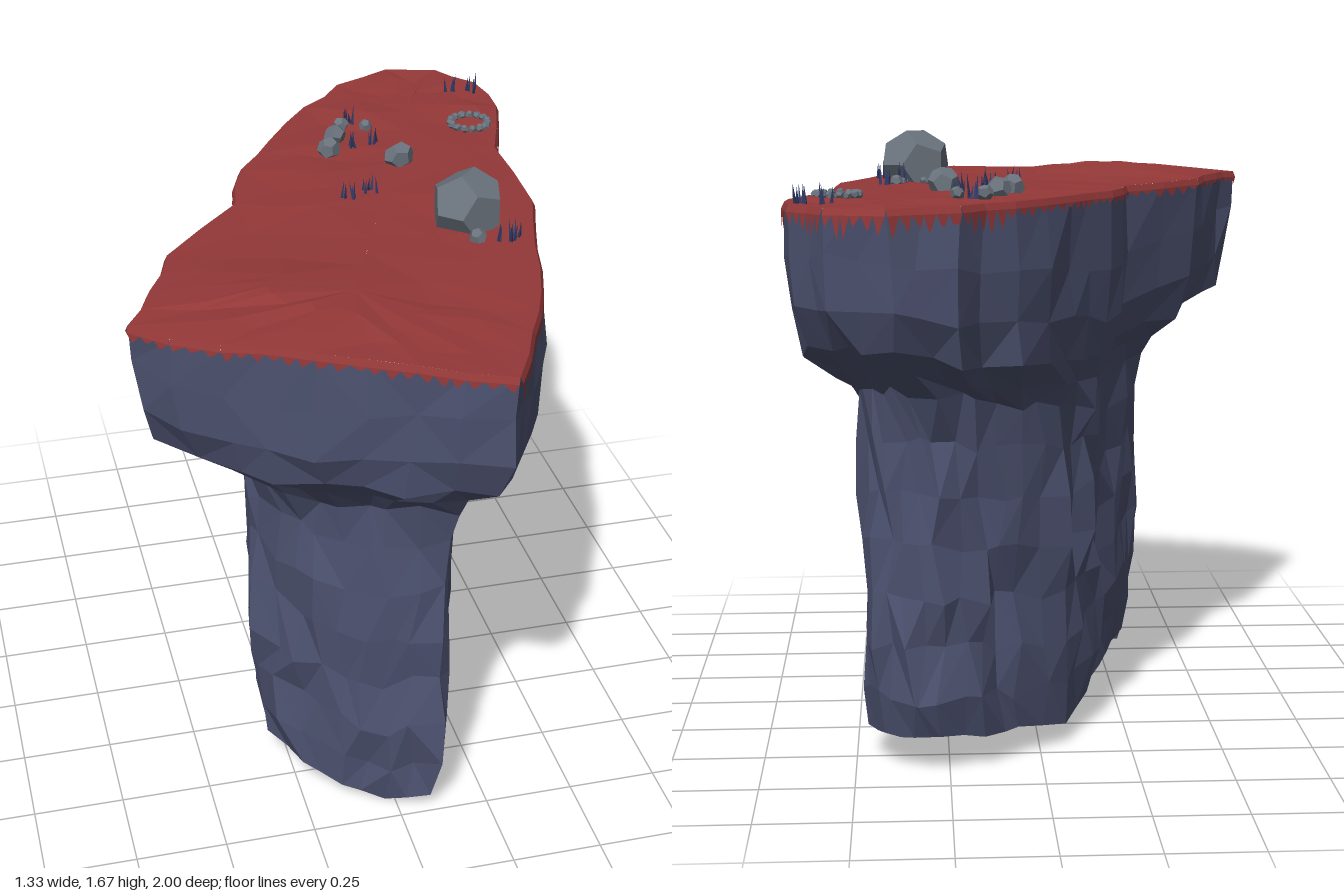
import * as THREE from 'three';

// Stations around the cliff: top x, z | trunk x, z | ledge height | bottom height | bulge below the turf
const STATIONS = [
  [-0.66, 0.52, -0.34, 0.43, 1.17, 0.10, 0], [-0.46, 0.69, -0.25, 0.56, 1.14, 0.07, 0],
  [-0.25, 0.78, -0.15, 0.64, 1.12, 0.03, 0], [-0.02, 0.88, -0.03, 0.70, 1.13, 0.00, 0],
  [0.20, 0.99, 0.10, 0.76, 1.16, 0.04, 0], [0.30, 0.78, 0.14, 0.66, 1.12, 0.05, 0.02],
  [0.39, 0.58, 0.18, 0.50, 1.13, 0.07, 0.02], [0.46, 0.32, 0.25, 0.30, 1.12, 0.11, 0.01],
  [0.54, 0.06, 0.34, 0.05, 1.03, 0.12, 0.03], [0.55, -0.32, 0.43, -0.25, 1.05, 0.06, 0.05],
  [0.65, -0.62, 0.48, -0.50, 1.12, 0.08, 0], [0.64, -0.82, 0.44, -0.62, 1.15, 0.09, 0],
  [0.55, -0.95, 0.36, -0.67, 1.16, 0.09, 0], [0.40, -0.99, 0.28, -0.69, 1.15, 0.10, 0],
  [0.22, -0.90, 0.16, -0.64, 1.12, 0.09, 0.05], [0.08, -0.75, 0.06, -0.55, 1.10, 0.08, 0.03],
  [-0.08, -0.52, -0.07, -0.43, 1.08, 0.06, 0], [-0.20, -0.34, -0.15, -0.25, 1.06, 0.09, 0],
  [-0.26, -0.12, -0.20, -0.05, 1.08, 0.11, 0], [-0.50, 0.16, -0.28, 0.15, 1.12, 0.12, 0],
  [-0.58, 0.36, -0.33, 0.32, 1.15, 0.11, 0],
];
const SUB = 2, COLS = STATIONS.length * SUB, TOP = 1.525;
const lerp = THREE.MathUtils.lerp;

let seed = 7;
const rand = () => (seed = (seed * 16807) % 2147483647) / 2147483647;
const jit = (a) => (rand() * 2 - 1) * a;

const material = (color, side = THREE.FrontSide) =>
  new THREE.MeshStandardMaterial({ color, flatShading: true, roughness: 1, side });
const ROCK = material(0x4d5270);
const TURF = material(0x943838, THREE.DoubleSide);
const STONE = material(0x69727c);
const BLADE = material(0x2f3a66);

// Gentle mound near the front left of the plateau
const groundY = (x, z) => TOP + 0.037 * Math.exp(-((x + 0.28) ** 2 + (z - 0.5) ** 2) / 0.07);

// Joins closed rings of points, choosing the diagonals irregularly
function loft(rings) {
  const pos = [];
  const tri = (...p) => p.forEach((v) => pos.push(v.x, v.y, v.z));
  for (let r = 0; r < rings.length - 1; r++) {
    for (let i = 0; i < COLS; i++) {
      const j = (i + 1) % COLS;
      const a = rings[r][i], b = rings[r][j], c = rings[r + 1][j], d = rings[r + 1][i];
      if (rand() < 0.5) { tri(a, b, c); tri(a, c, d); } else { tri(a, b, d); tri(b, c, d); }
    }
  }
  const g = new THREE.BufferGeometry();
  g.setAttribute('position', new THREE.Float32BufferAttribute(pos, 3));
  g.computeVertexNormals();
  return g;
}

function addMesh(parent, name, geometry, mat) {
  const m = new THREE.Mesh(geometry, mat);
  m.name = name;
  parent.add(m);
  return m;
}

// Stations subdivided into columns, slightly ragged between the stations
function makeColumns() {
  return Array.from({ length: COLS }, (_, i) => {
    const a = STATIONS[Math.floor(i / SUB)], b = STATIONS[(Math.floor(i / SUB) + 1) % STATIONS.length];
    const f = (i % SUB) / SUB;
    const c = a.map((v, k) => lerp(v, b[k], f));
    if (f > 0) { c[0] += jit(0.012); c[1] += jit(0.012); }
    return c;
  });
}

function cliffGeometry(cols) {
  const point = (c, t, y, bulge, amount) => {
    const dx = c[0] - 0.1, dz = c[1] * 0.4, n = Math.hypot(dx, dz) || 1;
    return new THREE.Vector3(
      lerp(c[2], c[0], t) + (dx / n) * c[6] * bulge + jit(amount), y + jit(amount),
      lerp(c[3], c[1], t) + (dz / n) * c[6] * bulge + jit(amount));
  };
  const rings = [];
  // Underside, from the centre outwards
  for (const s of [0, 0.5, 0.85]) {
    rings.push(cols.map((c) => new THREE.Vector3(
      lerp(0.06, c[2], s) + jit(0.02 * s), lerp(0.11, c[5], s) + jit(0.015 * s), lerp(0.05, c[3], s) + jit(0.02 * s))));
  }
  // Trunk
  for (const f of [0, 0.12, 0.27, 0.42, 0.57, 0.72, 0.87, 1]) {
    const t = f === 0 ? -0.1 : f === 1 ? 0.1 : 0;
    rings.push(cols.map((c) => point(c, t, lerp(c[5] + 0.01, c[4] - 0.12, f), 0, f === 0 ? 0.008 : 0.02)));
  }
  // Overhanging ledge
  for (const [dy, t, bulge] of [[-0.05, 0.38, 0.3], [0.01, 0.78, 0.8], [0.12, 0.93, 1], [0.25, 0.98, 0.8]]) {
    rings.push(cols.map((c) => point(c, t, c[4] + dy, bulge, t > 0.9 ? 0.012 : 0.018)));
  }
  rings.push(cols.map((c) => new THREE.Vector3(c[0], TOP, c[1])));
  return loft(rings);
}

// Plateau surface: rings drawn in towards a spine running front to back
function turfGeometry(cols) {
  const spine = new THREE.Line3(new THREE.Vector3(-0.08, 0, 0.5), new THREE.Vector3(0.4, 0, -0.7));
  const rings = [0, 0.3, 0.62, 1].map((s) => cols.map((c) => {
    const p = new THREE.Vector3(c[0], 0, c[1]), q = spine.closestPointToPoint(p, true, new THREE.Vector3());
    p.lerp(q, s);
    if (s > 0 && s < 1) { p.x += jit(0.02); p.z += jit(0.02); }
    p.y = groundY(p.x, p.z) + (s > 0 && s < 1 ? jit(0.006) : 0.002);
    return p;
  }));
  return loft(rings);
}

// Ragged turf teeth hanging over the rim, longer on the left side and back
function fringeGeometry(cols) {
  const pos = [], teeth = 3;
  for (let i = 0; i < COLS; i++) {
    const a = cols[i], b = cols[(i + 1) % COLS];
    const dx = b[0] - a[0], dz = b[1] - a[1], n = Math.hypot(dx, dz);
    const long = i >= 4 * SUB && i < 15 * SUB ? 0.05 : 0.022;
    const at = (f, y, out) => {
      const x = lerp(a[0], b[0], f), z = lerp(a[1], b[1], f);
      return [x - (dz / n) * out, groundY(x, z) + y, z + (dx / n) * out];
    };
    for (let k = 0; k < teeth; k++) {
      const f0 = k / teeth, f1 = (k + 1) / teeth, h = long * (0.5 + rand() * 0.7);
      const p0 = at(f0, 0.002, 0), p1 = at(f1, 0.002, 0), q0 = at(f0, -0.015, 0.008), q1 = at(f1, -0.015, 0.008);
      const tip = at((f0 + f1) / 2 + jit(0.08), -0.015 - h, 0.01);
      pos.push(...q0, ...q1, ...p1, ...q0, ...p1, ...p0, ...q0, ...tip, ...q1);
    }
  }
  const g = new THREE.BufferGeometry();
  g.setAttribute('position', new THREE.Float32BufferAttribute(pos, 3));
  g.computeVertexNormals();
  return g;
}

function addStone(parent, name, x, z, r, height = 0.85) {
  const m = addMesh(parent, name, new THREE.DodecahedronGeometry(r), STONE);
  m.position.set(x, groundY(x, z) + r * 0.5, z);
  m.scale.set(1, height, 1);
  m.rotation.set(rand() * 3, rand() * 6, rand() * 3);
  return m;
}

function addTuft(parent, x, z) {
  const tuft = new THREE.Group();
  tuft.name = 'grassTuft';
  for (let i = 0; i < 5; i++) {
    const h = 0.04 + rand() * 0.03;
    const blade = addMesh(tuft, 'blade', new THREE.ConeGeometry(0.006, h, 3).translate(0, h / 2, 0), BLADE);
    blade.position.set(jit(0.018), -0.004, jit(0.018));
    blade.rotation.set(jit(0.25), rand() * 6, jit(0.25));
  }
  tuft.position.set(x, groundY(x, z), z);
  parent.add(tuft);
}

export function createModel() {
  const model = new THREE.Group();
  model.name = 'rockyCliff';
  const cols = makeColumns();
  addMesh(model, 'cliffRock', cliffGeometry(cols), ROCK);
  addMesh(model, 'turfTop', turfGeometry(cols), TURF);
  addMesh(model, 'turfFringe', fringeGeometry(cols), TURF);

  // Boulder and scattered stones
  const boulder = addStone(model, 'boulder', 0.325, 0.14, 0.105, 0.95);
  boulder.position.y = 1.575;
  for (const [x, z, r] of [[0.25, -0.28, 0.045], [0.11, -0.48, 0.035], [0.07, -0.39, 0.035], [0.22, -0.55, 0.02],
    [0.15, -0.57, 0.024], [0.32, 0.26, 0.025], [0.38, -0.02, 0.02], [0.3, 0.03, 0.015], [0.36, 0.03, 0.014]]) {
    addStone(model, 'stone', x, z, r);
  }

  // Ring of small stones
  const ring = new THREE.Group();
  ring.name = 'stoneRing';
  for (let i = 0; i < 15; i++) {
    const a = (i / 15) * Math.PI * 2;
    addStone(ring, 'ringStone', 0.53 + Math.cos(a) * 0.056, -0.51 + Math.sin(a) * 0.056, 0.013);
  }
  model.add(ring);

  // Grass
  for (const [x, z] of [[0.41, -0.05], [0.37, 0.03], [0.42, 0.27], [0.39, 0.29], [0.12, -0.11], [0.05, -0.08],
    [0.18, -0.6], [0.16, -0.43], [0.21, -0.44], [0.55, -0.79], [0.61, -0.75]]) addTuft(model, x, z);
  return model;
}
